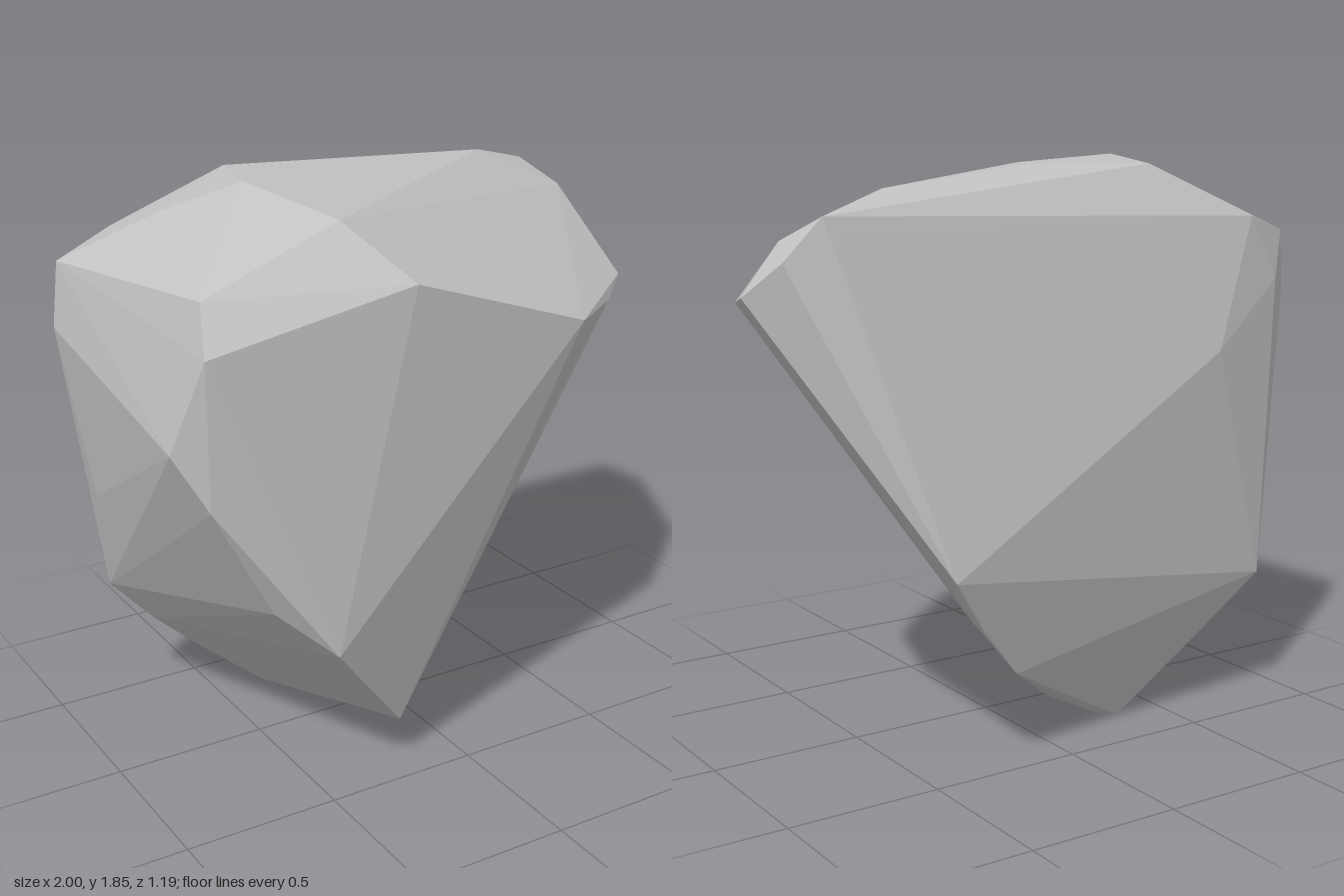
import * as THREE from 'three';
import { ConvexGeometry } from 'three/addons/geometries/ConvexGeometry.js';

const v = ([x, y, z]) => new THREE.Vector3(x, y, z);

// Corners of the boulder, grouped by region
const crown = [
  [-0.42, 1.81, 0.43], [-0.5, 1.85, 0], [-0.4, 1.83, -0.33], [0.02, 1.83, -0.22],
  [0.57, 1.78, -0.33], [0.81, 1.715, -0.42], [0.87, 1.64, -0.27], [0.92, 1.59, -0.39],
  [-0.72, 1.75, -0.15],
];
const frontFace = [
  [-0.26, 1.64, 0.59], [0.38, 1.42, 0.53], [0.43, 1.41, 0.49], [-0.9, 1.51, 0.54],
  [-0.87, 1.65, 0.46], [-0.88, 1.05, 0.5], [-0.68, 0.68, 0.48], [-0.52, 0.54, 0.58],
  [-0.21, 0.16, 0.42],
];
const rightSide = [
  [1, 1.49, -0.29], [0.81, 1.42, 0.16], [0.65, 1.39, 0.31], [0.68, 0.98, -0.44],
];
const leftSide = [
  [-0.97, 1.6, -0.33], [-1, 1.4, -0.31], [-0.97, 1.22, 0.44],
  [-0.92, 0.85, -0.25], [-0.83, 0.45, -0.42],
];
const backFace = [
  [-0.75, 1.66, -0.43], [0.78, 1.66, -0.43], [-0.87, 1.45, -0.42],
  [-0.57, 1.24, -0.5], [0.49, 0.66, -0.6],
];
const underside = [
  [0.36, 0.48, -0.54], [0.2, 0.3, -0.48], [-0.02, 0.14, -0.33], [-0.33, 0, -0.3],
  [-0.25, 0.02, -0.29], [-0.7, 0.31, -0.37], [-0.55, 0.18, -0.32],
];

export function createModel() {
  const group = new THREE.Group();
  group.name = 'boulder';

  const stone = new THREE.MeshStandardMaterial({ color: 0xc2c2c2 });
  stone.name = 'stoneGrey';
  stone.flatShading = true;

  // One faceted stone wrapped around all corners
  const corners = [crown, frontFace, rightSide, leftSide, backFace, underside].flat().map(v);
  const rock = new THREE.Mesh(new ConvexGeometry(corners), stone);
  rock.name = 'rock';
  group.add(rock);
  return group;
}
